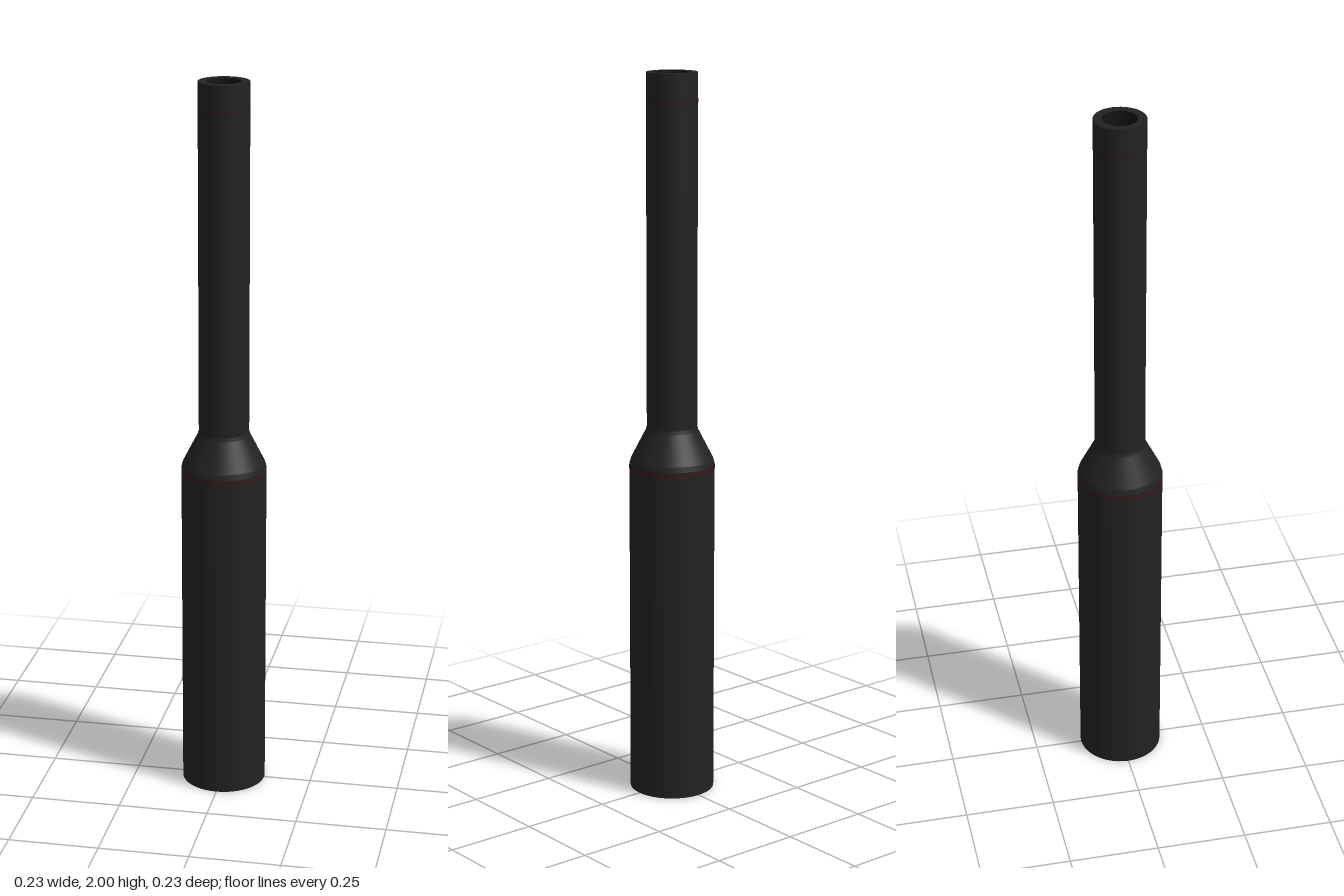
import * as THREE from 'three';

const SEGMENTS = 48;

// Revolves [radius, y] strips, each with its own normals so the edges stay sharp
function addTurned(group, name, color, points) {
  const part = new THREE.Group();
  part.name = name;
  const material = new THREE.MeshStandardMaterial({ color, side: THREE.DoubleSide });
  for (let i = 0; i < points.length - 1; i++) {
    const strip = [points[i], points[i + 1]].map(([r, y]) => new THREE.Vector2(r, y));
    const mesh = new THREE.Mesh(new THREE.LatheGeometry(strip, SEGMENTS), material);
    mesh.name = name + 'Surface';
    part.add(mesh);
  }
  group.add(part);
}

export function createModel() {
  const model = new THREE.Group();
  model.name = 'steppedTube';
  const bodyR = 0.117, neckR = 0.069, boreR = 0.046;

  // Wide lower body with a closed base
  addTurned(model, 'body', 0x222222, [[0, 0], [bodyR, 0], [bodyR, 0.935]]);
  // Tapered shoulder
  addTurned(model, 'shoulder', 0x222222, [[bodyR, 0.935], [0.113, 0.95], [0.072, 1.03], [neckR, 1.04]]);
  // Slim neck with a flat rim
  addTurned(model, 'neck', 0x222222, [[neckR, 1.04], [neckR, 2], [boreR, 2]]);
  // Dark hollow inside the neck
  addTurned(model, 'bore', 0x141414, [[boreR, 2], [boreR, 1.04], [0, 1.04]]);

  // Thin dark red accent lines
  for (const [name, r, y, color] of [
    ['bodyBand', bodyR, 0.926, 0x361a1c],
    ['neckBand', neckR, 1.925, 0x281c1c],
  ]) {
    addTurned(model, name, color, [[r + 0.0005, y - 0.006], [r + 0.0005, y + 0.006]]);
  }
  return model;
}
